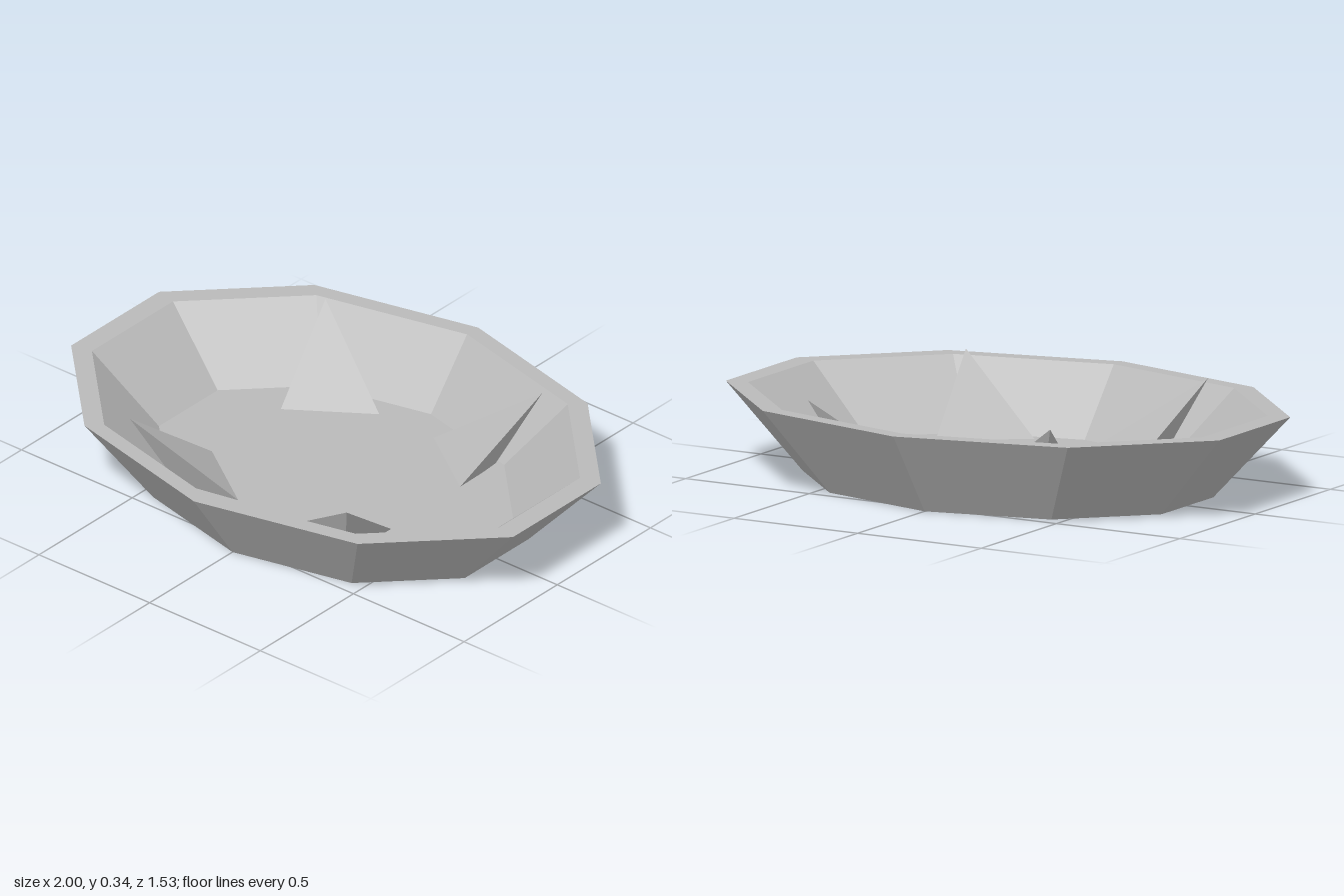
import * as THREE from 'three';
import { ConvexGeometry } from 'three/addons/geometries/ConvexGeometry.js';

export function createModel() {
  const model = new THREE.Group();
  model.name = 'spikedDish';
  const grey = new THREE.MeshStandardMaterial({ color: 0xbababa, flatShading: true });
  grey.name = 'grey';

  // Ten-sided dish: underside, flared outer wall, rim, inner wall and floor
  const profile = [
    [0, 0], [0.555, 0], [0.763, 0.3], [0.703, 0.3], [0.51, 0.067], [0, 0.067],
  ].map(([r, y]) => new THREE.Vector2(r, y));
  const dishGeometry = new THREE.LatheGeometry(profile, 10).toNonIndexed();
  dishGeometry.scale(1.376, 1, 1); // stretch to an oval
  dishGeometry.computeVertexNormals();
  const dish = new THREE.Mesh(dishGeometry, grey);
  dish.name = 'dish';
  model.add(dish);

  // Four three-sided spikes leaning outwards, mirrored into each quarter
  const corners = [
    [0.49, 0.335, 0.525], // tip
    [0.405, 0.08, 0.185],
    [0.123, 0.08, 0.378],
    [0.38, 0.06, 0.4],
  ];
  for (const sx of [1, -1]) {
    for (const sz of [1, -1]) {
      const points = corners.map(([x, y, z]) => new THREE.Vector3(x * sx, y, z * sz));
      const spike = new THREE.Mesh(new ConvexGeometry(points), grey);
      spike.name = (sz > 0 ? 'front' : 'back') + (sx > 0 ? 'Left' : 'Right') + 'Spike';
      model.add(spike);
    }
  }
  return model;
}
